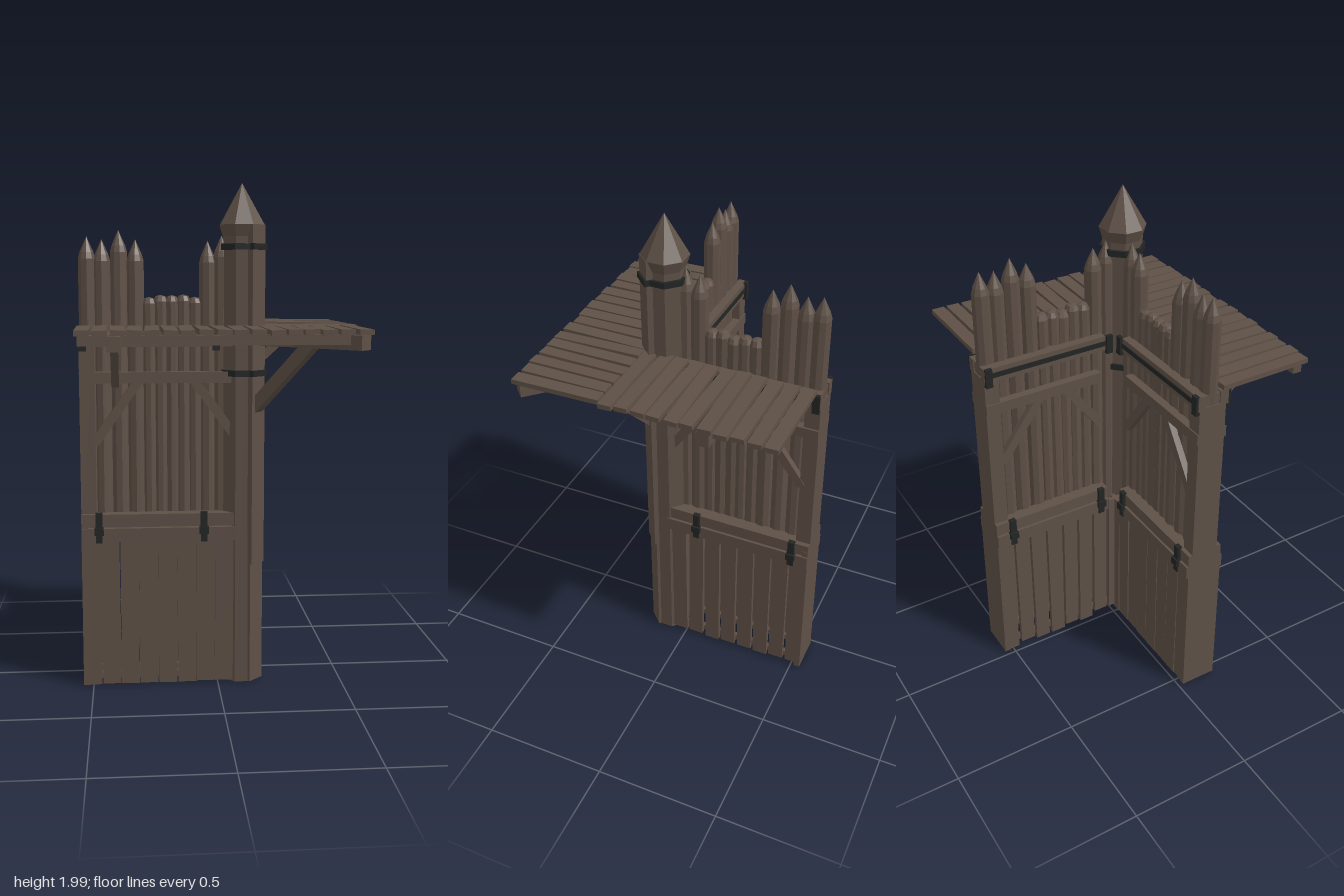
import * as THREE from 'three';

const wood = new THREE.MeshStandardMaterial({ color: 0x5e5046, flatShading: true });
wood.name = 'weathered wood';
const iron = new THREE.MeshStandardMaterial({ color: 0x232424, flatShading: true });
iron.name = 'dark iron';

let seed = 7;
const rnd = () => (seed = (seed * 16807) % 2147483647) / 2147483647;
const jit = a => (rnd() - 0.5) * 2 * a;

function add(parent, name, geo, mat, x = 0, y = 0, z = 0) {
  const m = new THREE.Mesh(geo, mat);
  m.name = name;
  m.position.set(x, y, z);
  parent.add(m);
  return m;
}

// box given by its extents on each axis
function box(parent, name, mat, x0, x1, y0, y1, z0, z1) {
  const geo = new THREE.BoxGeometry(Math.abs(x1 - x0), y1 - y0, Math.abs(z1 - z0));
  return add(parent, name, geo, mat, (x0 + x1) / 2, (y0 + y1) / 2, (z0 + z1) / 2);
}

// square timber running from point a to point b
function beam(parent, name, a, b, w, h) {
  const p = new THREE.Vector3(...a), q = new THREE.Vector3(...b);
  const m = add(parent, name, new THREE.BoxGeometry(w, h, p.distanceTo(q)), wood);
  m.position.copy(p).add(q).multiplyScalar(0.5);
  m.lookAt(q);
  return m;
}

// palisade log, sharpened or rounded at the top
function log(parent, x, r, top, sharp) {
  const pts = sharp
    ? [[0, 0.6], [r, 0.6], [r, top - 0.085], [r * 0.8, top - 0.06], [0, top]]
    : [[0, 0.6], [r, 0.6], [r, top - 0.025], [r * 0.7, top - 0.006], [0, top]];
  const geo = new THREE.LatheGeometry(pts.map(p => new THREE.Vector2(...p)), 9);
  const m = add(parent, sharp ? 'sharpenedLog' : 'shortLog', geo, wood, x, 0, 0.093);
  m.rotation.y = rnd() * 3;
}

// one wall wing: u runs away from the corner post, +z is the outer side
function buildWing(s, o) {
  const g = new THREE.Group();
  g.name = o.name;
  const ub = (name, mat, u0, u1, y0, y1, z0, z1) => box(g, name, mat, s * u0, s * u1, y0, y1, z0, z1);

  // palisade
  [[0.505, 1.795], [0.447, 1.785], [0.382, 1.82], [0.317, 1.785], [0.035, 1.78], [-0.02, 1.8]]
    .forEach(([u, t]) => log(g, s * u, 0.034, t, true));
  [0.265, 0.22, 0.175, 0.13, 0.085, -0.065]
    .forEach(u => log(g, s * u, 0.029, 1.565 + jit(0.01), false));

  // lower cladding, outer and inner side
  for (const [z, u0] of [[0.16, -0.14], [0.03, -0.06]]) {
    const n = z > 0.1 ? 9 : 8, step = (0.54 - u0) / n;
    for (let i = 0; i < n; i++) {
      const u = u0 + i * step;
      const p = ub('claddingPlank', wood, u + o.gap / 2, u + step - o.gap / 2,
        0.012 + rnd() * o.ragged, 0.63, z - 0.009, z + 0.009);
      p.rotation.z = jit(0.008);
      p.position.z += jit(0.003);
    }
  }
  ub('endPanel', wood, 0.515, 0.54, 0.012, 0.68, 0.02, 0.172);
  ub('sill', wood, 0.0, 0.53, 0.03, 0.055, 0.04, 0.06);
  ub('sill', wood, -0.05, 0.53, 0.03, 0.055, 0.13, 0.15);
  ub('endPost', wood, 0.48, 0.54, 0.66, 1.38, 0.035, 0.15);

  // rails, knee braces and iron clasps on both faces
  for (const d of [1, -1]) {
    const c = 0.094, z = t => c + d * t;
    const start = d > 0 ? -0.08 : 0.02;
    ub('lowerRail', wood, start, 0.54, 0.6, 0.655, z(0.03), z(0.084));
    ub('lowerRail', wood, start, 0.54, 0.658, 0.71, z(0.025), z(0.076));
    ub('middleRail', wood, start + 0.02, 0.54, 1.228, 1.272, z(0.03), z(0.064));
    ub('topRail', wood, start, 0.54, 1.37, 1.43, z(0.03), z(0.066));
    ub('ironStrap', iron, 0.01, 0.53, 1.39, 1.41, z(0.06), z(0.07));
    beam(g, 'kneeBrace', [s * 0.485, 0.99, z(0.046)], [s * 0.31, 1.235, z(0.046)], 0.026, 0.036);
    beam(g, 'kneeBrace', [s * (start + 0.02), 1.03, z(0.046)], [s * (start + 0.17), 1.235, z(0.046)], 0.026, 0.036);
    for (const u of [0.47, 0.055]) {
      ub('railClasp', iron, u - 0.013, u + 0.013, 0.598, 0.718, z(0.07), z(0.09));
      ub('claspBolt', iron, u - 0.018, u + 0.018, 0.63, 0.66, z(0.07), z(0.098));
    }
    for (const u of [0.525, 0.005])
      ub('topClasp', iron, u - 0.014, u + 0.014, 1.355, 1.432, z(0.06), z(0.076));
  }
  ub('endTie', wood, 0.505, 0.535, 1.37, 1.425, 0.03, 0.155);

  // joist with its strut
  const j = s * o.joist;
  box(g, 'joist', wood, j - 0.025, j + 0.025, 1.375, 1.43, 0.06, 0.54);
  beam(g, 'joistStrut', [j, 1.225, 0.14], [j, 1.4, 0.33], 0.03, 0.035);

  // walkway planks
  const step = (o.deck1 - o.deck0) / o.planks;
  for (let i = 0; i < o.planks; i++) {
    const u = o.deck0 + i * step;
    const inner = u < -0.15 ? 0.168 : o.inner;
    const p = ub('deckPlank', wood, u + 0.004, u + step - 0.007, 1.432, 1.452,
      inner + jit(0.005), o.outer + jit(0.006));
    p.rotation.set(jit(0.008), jit(0.018), jit(0.06));
  }
  return g;
}

export function createModel() {
  seed = 7;
  const model = new THREE.Group();
  model.name = 'cornerPalisade';

  const front = buildWing(-1, {
    name: 'frontWing', gap: 0.003, ragged: 0.006, joist: 0.4,
    deck0: -0.54, deck1: 0.55, planks: 17, inner: 0.133, outer: 0.522
  });
  box(front, 'outerBeam', wood, -0.53, 0.46, 1.395, 1.432, 0.462, 0.5);
  model.add(front);

  const side = buildWing(1, {
    name: 'sideWing', gap: 0.012, ragged: 0.022, joist: 0.24,
    deck0: -0.165, deck1: 0.53, planks: 11, inner: 0.155, outer: 0.545
  });
  side.rotation.y = Math.PI / 2;
  model.add(side);

  // corner post with pointed cap
  const post = new THREE.Group();
  post.name = 'cornerPost';
  model.add(post);
  const shaft = add(post, 'postShaft', new THREE.CylinderGeometry(0.078, 0.082, 1.83, 8), wood, 0.1, 0.925, 0.1);
  shaft.rotation.y = Math.PI / 8;
  const cap = add(post, 'postCap', new THREE.CylinderGeometry(0.092, 0.078, 0.045, 8), wood, 0.1, 1.8175, 0.1);
  cap.rotation.y = Math.PI / 8;
  const spike = add(post, 'postSpike', new THREE.ConeGeometry(0.092, 0.16, 8), wood, 0.1, 1.92, 0.1);
  spike.rotation.y = Math.PI / 8;

  // facing boards on the outer corner
  for (const [name, c, y0, y1] of [['cornerFacing', 0.15, 0.5, 1.84], ['cornerFoot', 0.145, 0.012, 0.62]]) {
    const m = add(post, name, new THREE.BoxGeometry(0.078, y1 - y0, 0.032), wood, c, (y0 + y1) / 2, c);
    m.rotation.y = Math.PI / 4;
  }

  // iron bands around the post
  for (const y of [1.265, 1.755]) {
    const band = add(post, 'ironBand', new THREE.CylinderGeometry(0.09, 0.09, 0.024, 8), iron, 0.1, y, 0.1);
    band.rotation.y = Math.PI / 8;
    const plate = add(post, 'bandPlate', new THREE.BoxGeometry(0.084, 0.024, 0.04), iron, 0.153, y, 0.153);
    plate.rotation.y = Math.PI / 4;
  }

  // diagonal joist and strut carrying the outer deck corner
  beam(post, 'cornerJoist', [0.12, 1.403, 0.12], [0.512, 1.403, 0.512], 0.06, 0.055);
  beam(post, 'cornerStrut', [0.15, 1.13, 0.15], [0.345, 1.395, 0.345], 0.042, 0.05);

  return model;
}
